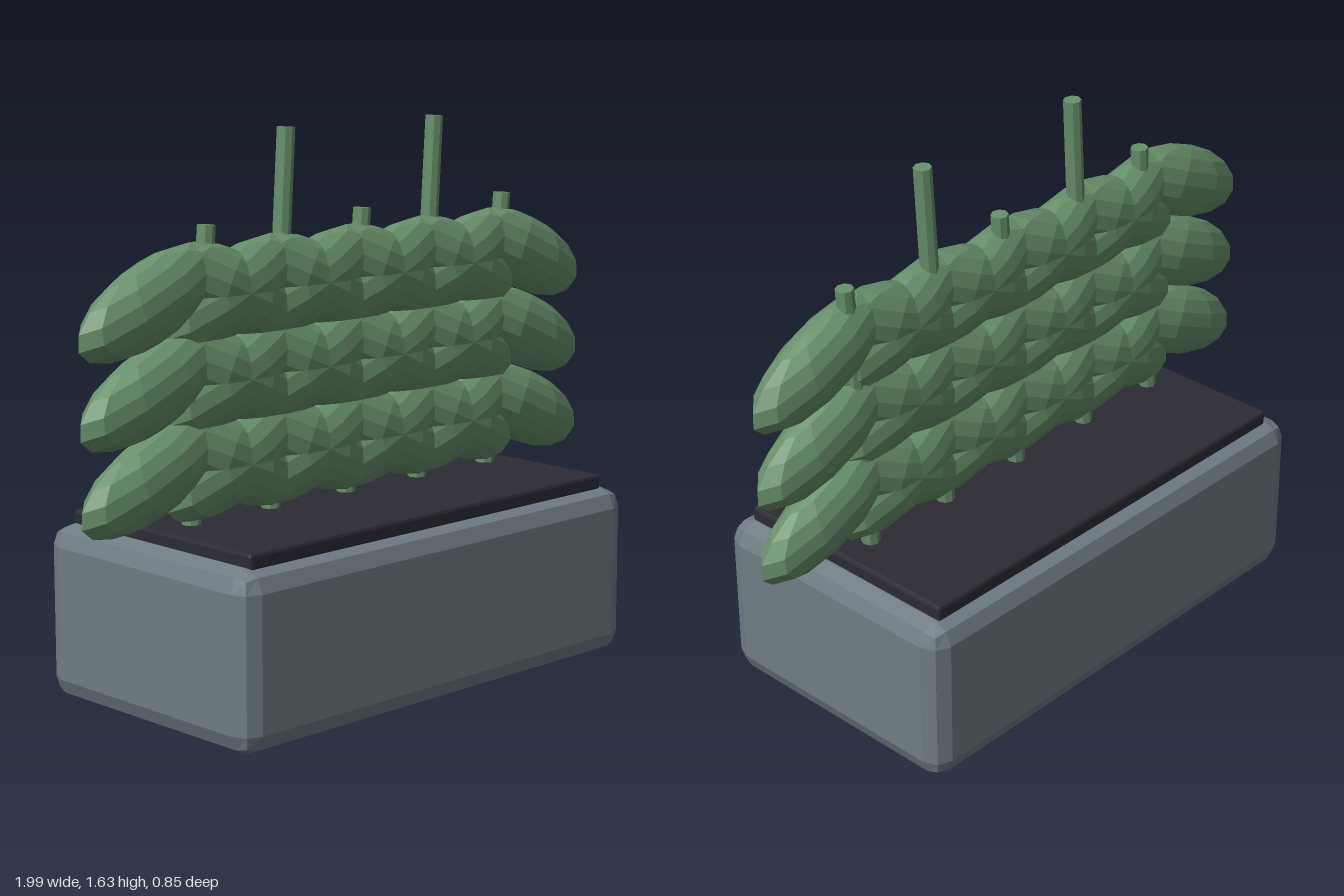
import * as THREE from 'three';
import { RoundedBoxGeometry } from 'three/addons/geometries/RoundedBoxGeometry.js';

const planterMat = new THREE.MeshStandardMaterial({ name: 'slate planter', color: 0x6f7c84 });
const soilMat = new THREE.MeshStandardMaterial({ name: 'dark soil', color: 0x2c2b35 });
const leafMat = new THREE.MeshStandardMaterial({ name: 'leaf green', color: 0x668f6a });

// Faceted normals
function facet(geometry) {
  const g = geometry.index ? geometry.toNonIndexed() : geometry;
  g.computeVertexNormals();
  return g;
}

function add(parent, name, geometry, material, x, y, z) {
  const mesh = new THREE.Mesh(geometry, material);
  mesh.name = name;
  mesh.position.set(x, y, z);
  parent.add(mesh);
  return mesh;
}

const STEM_Z = -0.005, LEAF_Z = 0.013, BASE_Y = 0.5;

// Slim stem running from the soil to its leaning tip
function addStem(parent, x, topY) {
  const lean = 0.07, rise = topY - BASE_Y;
  const geometry = facet(new THREE.CylinderGeometry(0.026, 0.028, Math.hypot(lean, rise), 8));
  const stem = add(parent, 'stem', geometry, leafMat, x + lean / 2, BASE_Y + rise / 2, STEM_Z);
  stem.rotation.z = -Math.atan2(lean, rise);
}

export function createModel() {
  const model = new THREE.Group();
  model.name = 'hedgePlanter';

  // Box and soil bed
  add(model, 'planterBox', facet(new RoundedBoxGeometry(1.56, 0.51, 0.85, 1, 0.06)), planterMat, 0, 0.255, STEM_Z);
  add(model, 'soilBed', facet(new RoundedBoxGeometry(1.43, 0.05, 0.75, 1, 0.01)), soilMat, 0, 0.525, STEM_Z);

  // Five plants, each with three tiers of paired drooping leaves
  const leafGeometry = facet(new THREE.SphereGeometry(1, 10, 8).scale(0.27, 0.112, 0.082));
  for (let i = 0; i < 5; i++) {
    const plant = new THREE.Group();
    plant.name = 'plant';
    model.add(plant);
    const x = (i - 2) * 0.3;
    addStem(plant, x, i % 2 ? 1.63 : 1.38);
    for (const y of [0.71, 0.95, 1.19]) {
      for (const side of [-1, 1]) {
        const leaf = add(plant, side > 0 ? 'leftLeaf' : 'rightLeaf', leafGeometry, leafMat, x + side * 0.15, y, LEAF_Z);
        leaf.rotation.z = -side * 0.42;
      }
    }
  }
  return model;
}
